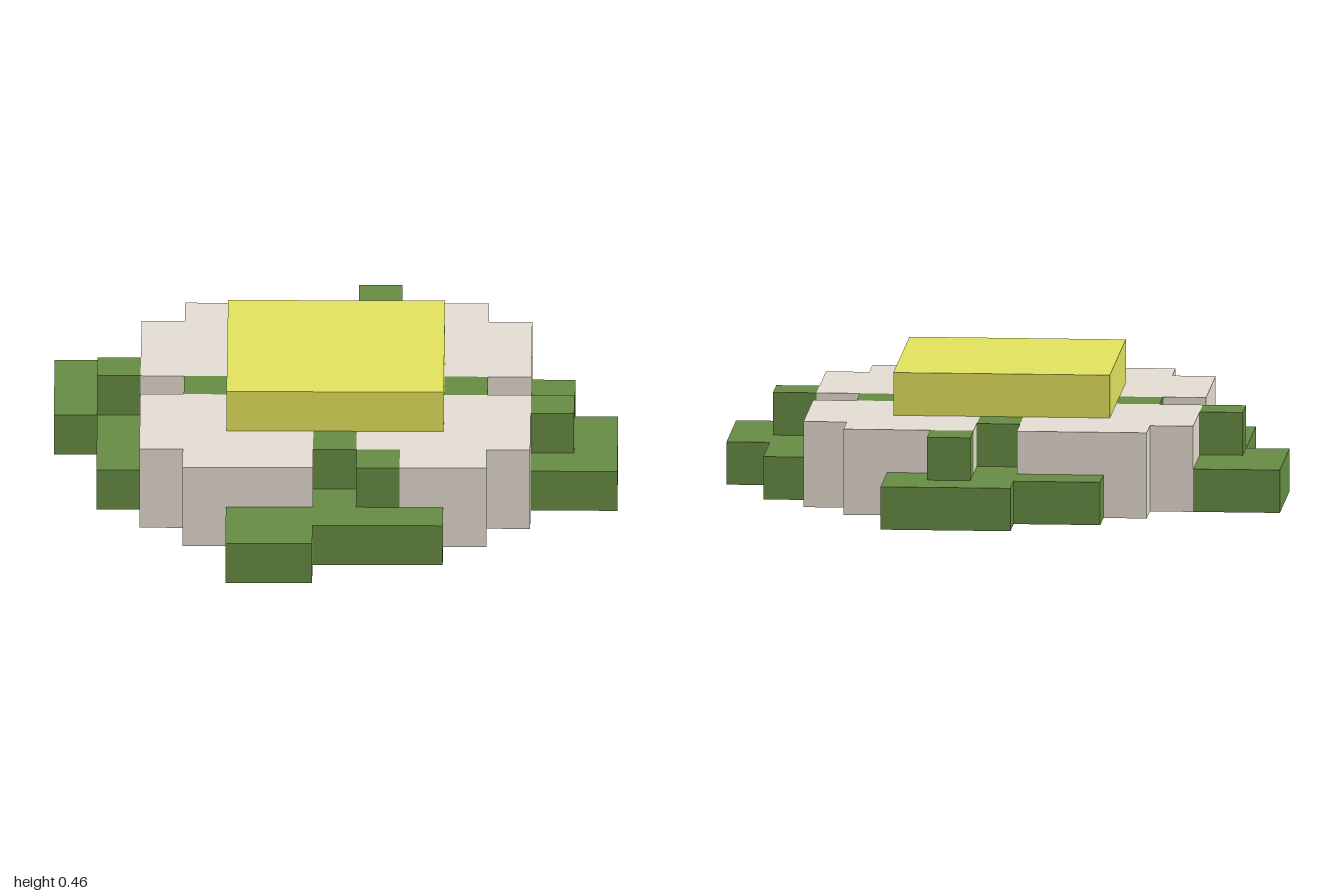
import * as THREE from 'three';

const U = 2 / 13; // one block

export function createModel() {
  const model = new THREE.Group();
  model.name = 'blockFlower';

  const mat = (name, color) => {
    const m = new THREE.MeshStandardMaterial({ color });
    m.name = name;
    return m;
  };
  const green = mat('leafGreen', 0x688e44);
  const cream = mat('petalCream', 0xe8e0d5);
  const yellow = mat('centreYellow', 0xe5e55f);

  // Upright slab from an (x, z) outline, all in block units
  const slab = (name, outline, bottom, top, material, parent) => {
    const shape = new THREE.Shape(outline.map(([x, z]) => new THREE.Vector2(x * U, z * U)));
    const geo = new THREE.ExtrudeGeometry(shape, { depth: (top - bottom) * U, bevelEnabled: false });
    geo.rotateX(Math.PI / 2).translate(0, top * U, 0);
    const mesh = new THREE.Mesh(geo, material);
    mesh.name = name;
    parent.add(mesh);
  };
  const rect = (x0, x1, z0, z1) => [[x0, z0], [x1, z0], [x1, z1], [x0, z1]];

  // Flower centre
  slab('flowerCentre', rect(-2.5, 2.5, -2.5, 2.5), 0, 3, yellow, model);

  // Four petals with stepped corners
  const petal = [[0.5, 2.5], [2.5, 2.5], [2.5, 0.5], [4.5, 0.5], [4.5, 3.5], [3.5, 3.5], [3.5, 4.5], [0.5, 4.5]];
  const notched = [...petal.slice(0, 7), [1.5, 4.5], [1.5, 3.5], [0.5, 3.5]];
  for (let i = 0; i < 4; i++) {
    const group = new THREE.Group();
    group.name = 'petal' + (i + 1);
    group.rotation.y = (i * Math.PI) / 2;
    slab('petalLower', petal, 0, 1, cream, group);
    // the first petal leaves room for a leaf bud
    slab('petalUpper', i === 0 ? notched : petal, 1, 2, cream, group);
    model.add(group);
  }

  // Leaves, drawn pointing to +z: broad tip from x0 to x1, bud at (bx, bz)
  const leaves = [
    { name: 'frontLeaf', turn: 0, x0: -2.5, x1: -0.5, bx: 0.5, bz: 3.5 },
    { name: 'leftLeaf', turn: 1, x0: -2.5, x1: 0.5, bx: -1.5, bz: 4.5 },
    { name: 'backLeaf', turn: 2, x0: -2.5, x1: 0.5, bx: -1.5, bz: 4.5 },
    { name: 'rightLeaf', turn: 3, x0: -3.5, x1: -0.5, bx: -1.5, bz: 4.5 },
  ];
  for (const { name, turn, x0, x1, bx, bz } of leaves) {
    const group = new THREE.Group();
    group.name = name;
    group.rotation.y = (turn * Math.PI) / 2;
    slab('leafBlade', [
      [x0, 4.5], [-0.5, 4.5], [-0.5, 3.5], [0.5, 3.5], [0.5, 4.5], [2.5, 4.5],
      [2.5, 5.5], [x1, 5.5], [x1, 6.5], [x0, 6.5],
    ], 0, 1, green, group);
    slab('leafStem', rect(-0.5, 0.5, 2.5, 3.5), 0, 2, green, group);
    slab('leafBud', rect(bx, bx + 1, bz, bz + 1), 1, 2, green, group);
    model.add(group);
  }

  return model;
}
